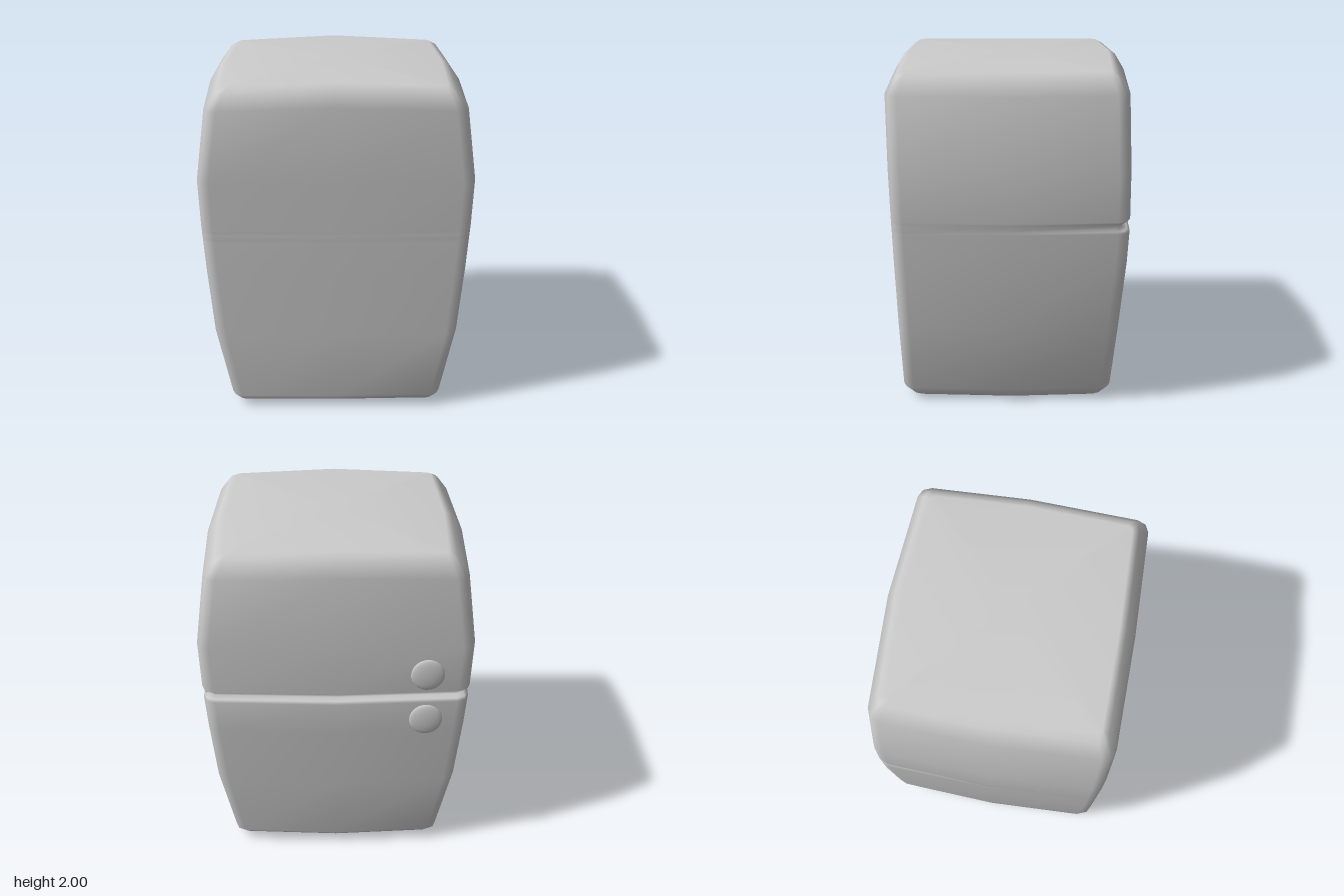
import * as THREE from 'three';

// Levels: [y, half width, front depth, back depth, corner size, groove inset]
const LEVELS = [
  [0.0, 0.58, 0.565, 0.53, 0.02, 0],
  [0.02, 0.61, 0.6, 0.56, 0.035, 0],
  [0.08, 0.65, 0.66, 0.617, 0.06, 0],
  [0.5, 0.737, 0.671, 0.648, 0.07, 0],
  [0.9, 0.77, 0.681, 0.68, 0.07, 0],
  [1.095, 0.782, 0.685, 0.688, 0.07, 0],
  [1.108, 0.783, 0.685, 0.688, 0.07, 0.015],
  [1.12, 0.784, 0.686, 0.688, 0.07, 0.045],
  [1.142, 0.785, 0.686, 0.688, 0.07, 0.045],
  [1.155, 0.786, 0.686, 0.688, 0.07, 0.015],
  [1.165, 0.787, 0.687, 0.688, 0.07, 0],
  [1.45, 0.797, 0.692, 0.684, 0.07, 0],
  [1.86, 0.74, 0.7, 0.67, 0.07, 0],
  [1.95, 0.675, 0.645, 0.615, 0.045, 0],
  [1.975, 0.63, 0.606, 0.575, 0.025, 0],
];

// Bulging rectangle with softened corners, from the front round through +x
function ring([y, hx, zf, zb, c, inset]) {
  const w = hx - 0.025, f = zf - 0.01, b = zb - 0.03 - inset, s = inset * 0.25;
  const half = [
    [0, zf], [w - c, f], [w - 0.3 * c, f - 0.3 * c], [w, f - c],
    [hx, 0],
    [w - s, -b + c - inset], [w - s - 0.3 * c, -b + 0.3 * c], [w - c, -b], [0, -zb + inset],
  ];
  const mirrored = half.slice(1, -1).reverse().map(([x, z]) => [-x, z]);
  const lift = y > 1.5 ? 0.025 : 0; // gently ridged top
  return [...half, ...mirrored].map(([x, z]) => [x, y + lift * (1 - Math.abs(x) / hx), z]);
}

function bodyGeometry() {
  const rings = LEVELS.map(ring), n = rings[0].length;
  const points = rings.flat();
  const index = [];
  for (let l = 0; l < rings.length - 1; l++) {
    for (let i = 0; i < n; i++) {
      const a = l * n + i, b = l * n + (i + 1) % n;
      index.push(a, b, b + n, a, b + n, a + n);
    }
  }
  // Bottom and top caps
  const bottom = points.length, top = bottom + 1, last = (rings.length - 1) * n;
  points.push([0, 0, 0], [0, 2, 0]);
  for (let i = 0; i < n; i++) {
    const j = (i + 1) % n;
    index.push(bottom, j, i, top, last + i, last + j);
  }
  const g = new THREE.BufferGeometry();
  g.setAttribute('position', new THREE.Float32BufferAttribute(points.flat(), 3));
  g.setIndex(index);
  g.computeVertexNormals();
  return g;
}

export function createModel() {
  const model = new THREE.Group();
  model.name = 'refrigerator';
  const material = new THREE.MeshStandardMaterial({ color: 0xcccccc });

  const body = new THREE.Mesh(bodyGeometry(), material);
  body.name = 'body';
  model.add(body);

  // Flattened round knobs, one on each door
  const knobGeometry = new THREE.SphereGeometry(1, 24, 16);
  for (const [name, y] of [['upperDoorKnob', 1.29], ['lowerDoorKnob', 0.99]]) {
    const knob = new THREE.Mesh(knobGeometry, material);
    knob.name = name;
    knob.scale.set(0.095, 0.098, 0.02);
    knob.position.set(-0.51, y, -0.682);
    model.add(knob);
  }
  return model;
}
